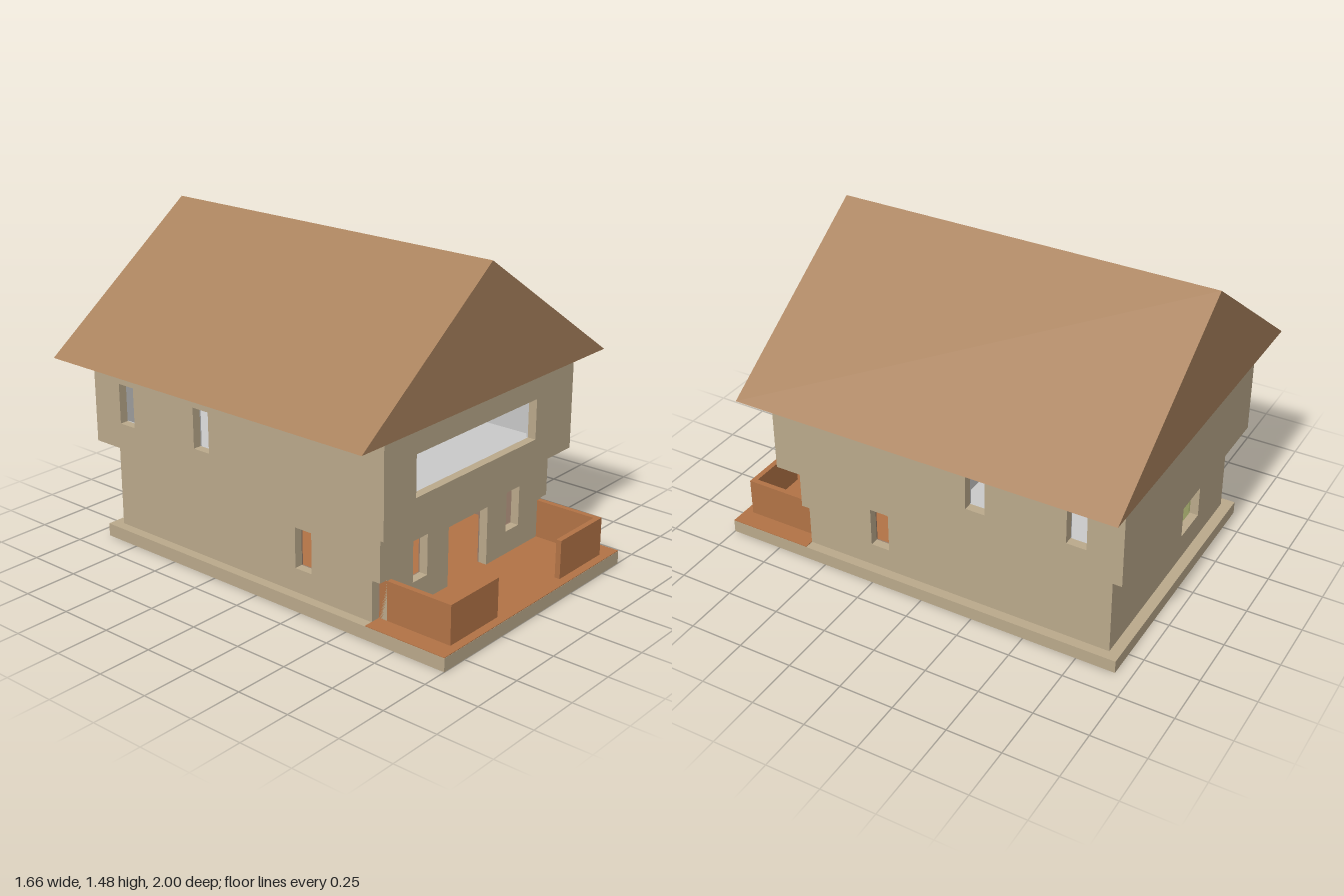
import * as THREE from 'three';

const mat = (name, color) => {
  const m = new THREE.MeshStandardMaterial({ color });
  m.name = name;
  return m;
};

export function createModel() {
  const model = new THREE.Group();
  model.name = 'house';
  const tan = mat('tan plaster', 0xbaa98b);
  const terracotta = mat('terracotta', 0xb27346);
  const brown = mat('roof brown', 0xa8815c);
  const mauve = mat('mauve plaster', 0x967c6a);
  const green = mat('olive green', 0x8c925c);
  const grey = mat('light grey', 0xc9c9c9);

  const add = (name, geometry, material) => {
    const mesh = new THREE.Mesh(geometry, material);
    mesh.name = name;
    model.add(mesh);
    return mesh;
  };
  // Box given by its limits on each axis
  const box = (name, x0, x1, y0, y1, z0, z1, material) =>
    add(name, new THREE.BoxGeometry(x1 - x0, y1 - y0, z1 - z0), material)
      .position.set((x0 + x1) / 2, (y0 + y1) / 2, (z0 + z1) / 2);
  const rect = (u0, u1, y0, y1) => [[u0, y0], [u1, y0], [u1, y1], [u0, y1]];
  const toPoints = (pts) => pts.map(([u, v]) => new THREE.Vector2(u, v));
  // Upright panel with openings, spanning x and extruded from z0 to z1
  const panelGeometry = (outline, holes, depth) => {
    const shape = new THREE.Shape(toPoints(outline));
    holes.forEach((h) => shape.holes.push(new THREE.Path(toPoints(rect(...h)))));
    return new THREE.ExtrudeGeometry(shape, { depth, bevelEnabled: false });
  };
  const panelX = (name, outline, holes, z0, z1, material) => {
    add(name, panelGeometry(outline, holes, z1 - z0), material).position.z = z0;
  };
  // The same, spanning z and lying between x0 and x1
  const panelZ = (name, outline, holes, x0, x1, material) => {
    const mesh = add(name, panelGeometry(outline, holes, x1 - x0), material);
    mesh.rotation.y = -Math.PI / 2;
    mesh.position.x = x1;
  };
  const T = 0.04; // wall thickness
  const L = 0.006; // lining thickness

  // Base slab, porch paving and room floors
  box('baseSlab', -0.63, 0.63, 0, 0.06, -0.93, 1, [tan, tan, tan, grey, tan, tan]);
  box('porchPaving', -0.629, 0.629, 0.058, 0.063, 0.6, 0.999, terracotta);
  box('frontRoomFloor', -0.545, 0.545, 0.058, 0.063, -0.56, 0.6, terracotta);
  box('backRoomFloor', -0.545, 0.545, 0.058, 0.063, -0.84, -0.56, green);

  // Porch parapets
  for (const s of [-1, 1]) {
    const span = (a, b) => (s > 0 ? [a, b] : [-b, -a]);
    box('porchSideParapet', ...span(0.515, 0.54), 0.06, 0.24, 0.6, 0.96, terracotta);
    box('porchFrontParapet', ...span(0.225, 0.515), 0.06, 0.24, 0.935, 0.96, terracotta);
  }

  // Lower storey: front wall is notched at its bottom corners
  const frontOutline = [[-0.54, 0.06], [0.54, 0.06], [0.54, 0.245], [0.585, 0.245],
    [0.585, 0.47], [-0.585, 0.47], [-0.585, 0.245], [-0.54, 0.245]];
  const frontHoles = [[-0.375, -0.28, 0.17, 0.355], [-0.138, 0.136, 0.061, 0.335], [0.275, 0.37, 0.17, 0.355]];
  panelX('lowerFrontWall', frontOutline, frontHoles, 0.6, 0.64, tan);
  panelX('lowerFrontLining', rect(-0.54, 0.54, 0.06, 0.465), frontHoles, 0.6 - L, 0.6, mauve);
  const backHoles = [[-0.3, -0.12, 0.18, 0.365]];
  panelX('lowerBackWall', rect(-0.585, 0.585, 0.06, 0.47), backHoles, -0.88, -0.84, tan);
  panelX('lowerBackLining', rect(-0.54, 0.54, 0.06, 0.465), backHoles, -0.84, -0.84 + L, green);
  const lowerSideHole = [[0.185, 0.275, 0.17, 0.355]];
  for (const s of [-1, 1]) {
    const wall = s > 0 ? [0.545, 0.585] : [-0.585, -0.545];
    const lining = s > 0 ? [0.545 - L, 0.545] : [-0.545, -0.545 + L];
    panelZ('lowerSideWall', rect(-0.84, 0.6, 0.06, 0.47), lowerSideHole, ...wall, tan);
    panelZ('frontRoomLining', rect(-0.56, 0.59, 0.06, 0.465), lowerSideHole, ...lining, mauve);
    panelZ('backRoomLining', rect(-0.83, -0.56, 0.06, 0.465), [], ...lining, green);
  }
  panelX('lowerPartition', rect(-0.54, 0.54, 0.06, 0.47),
    [[-0.09, 0.05, 0.061, 0.345]], -0.58, -0.55, mauve);

  // Upper storey floor, overhanging on all sides
  box('upperFloor', -0.65, 0.65, 0.47, 0.5, -0.95, 0.71, [tan, tan, grey, grey, tan, tan]);

  // Upper storey walls with grey linings
  const upperFrontHole = [[-0.45, 0.375, 0.59, 0.775]];
  panelX('upperFrontWall', rect(-0.65, 0.65, 0.5, 0.895), upperFrontHole, 0.71 - T, 0.71, tan);
  panelX('upperFrontLining', rect(-0.61, 0.61, 0.5, 0.89), upperFrontHole, 0.67 - L, 0.67, grey);
  box('upperBackWall', -0.65, 0.65, 0.5, 0.895, -0.95, -0.91, tan);
  box('upperBackLining', -0.61, 0.61, 0.5, 0.89, -0.91, -0.91 + L, grey);
  const upperSideHoles = [[-0.33, -0.24, 0.59, 0.775], [-0.79, -0.7, 0.59, 0.775]];
  for (const s of [-1, 1]) {
    const wall = s > 0 ? [0.61, 0.65] : [-0.65, -0.61];
    const lining = s > 0 ? [0.61 - L, 0.61] : [-0.61, -0.61 + L];
    panelZ('upperSideWall', rect(-0.91, 0.67, 0.5, 0.895), upperSideHoles, ...wall, tan);
    panelZ('upperSideLining', rect(-0.9, 0.66, 0.5, 0.89), upperSideHoles, ...lining, grey);
  }

  // Upper storey partitions with doorways
  panelX('upperCrossPartition', rect(-0.605, 0.605, 0.5, 0.89),
    [[-0.56, -0.43, 0.501, 0.745]], -0.13, -0.1, grey);
  panelZ('upperLongPartition', rect(-0.904, -0.13, 0.5, 0.89),
    [[-0.83, -0.66, 0.501, 0.745]], 0, 0.03, grey);
  box('upperCeiling', -0.61, 0.61, 0.888, 0.894, -0.91, 0.67, grey);

  // Gable roof with a slightly off-centre ridge
  panelX('gableRoof', [[-0.83, 0.895], [0.83, 0.895], [-0.035, 1.475]], [], -1, 0.75, brown);

  return model;
}
